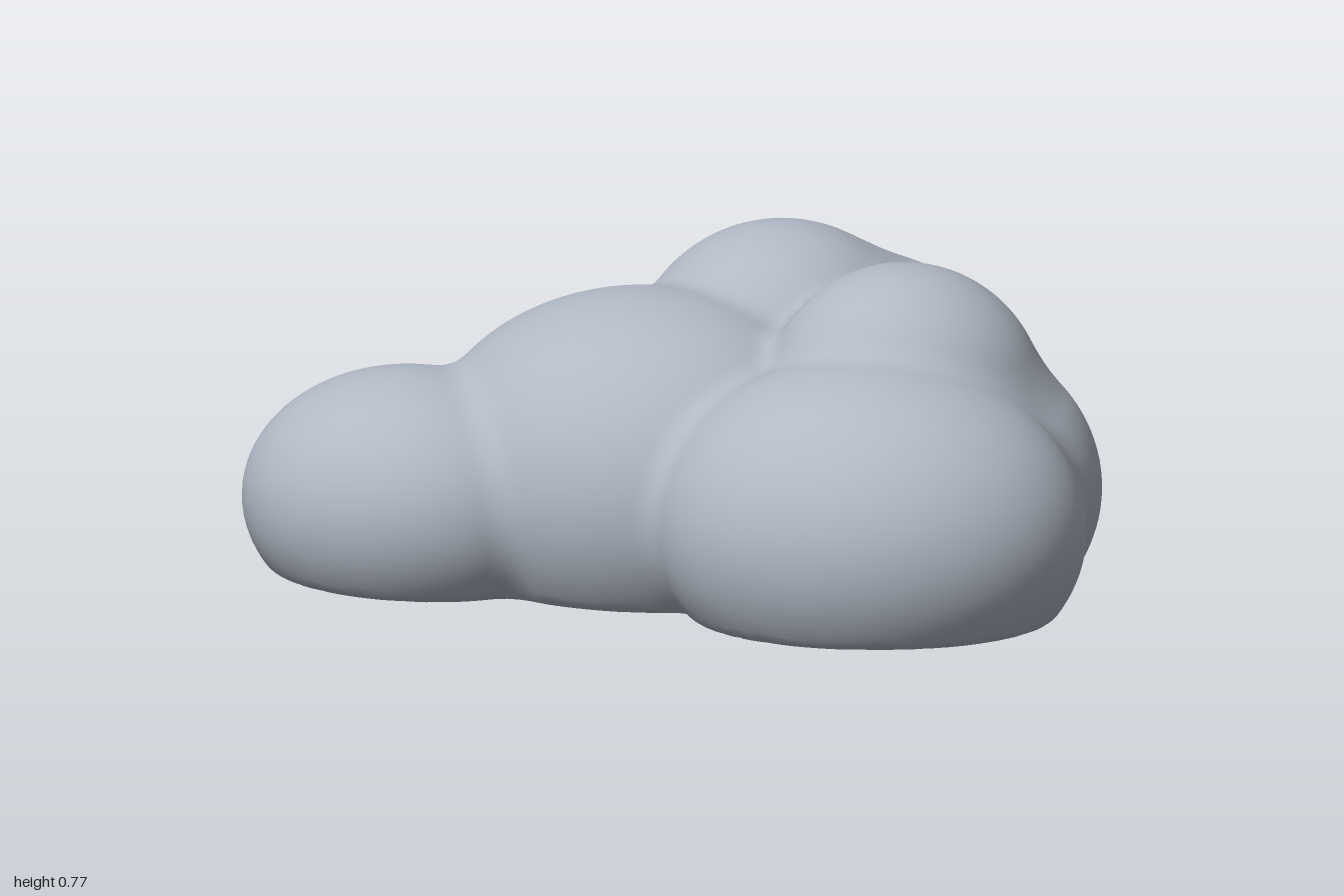
import * as THREE from 'three';

// Puffs of the cloud: centre, then radii
const puffs = [
  { c: [0.10, 0.24, -0.30], r: [0.55, 0.45, 0.51] },  // back
  { c: [0.05, 0.42, -0.20], r: [0.35, 0.35, 0.35] },  // back crown
  { c: [-0.13, 0.25, 0.15], r: [0.53, 0.42, 0.47] },  // middle
  { c: [-0.61, 0.20, 0.39], r: [0.39, 0.30, 0.34] },  // right end
  { c: [0.50, 0.23, 0.38], r: [0.50, 0.38, 0.43] },   // left front
  { c: [0.50, 0.25, 0.05], r: [0.40, 0.36, 0.40] },   // left side
  { c: [0.47, 0.45, 0.10], r: [0.32, 0.32, 0.32] },   // left crown
];

// Minimum with a rounded crease of width k
function smoothMin(a, b, k) {
  const h = Math.max(k - Math.abs(a - b), 0) / k;
  return Math.min(a, b) - h * h * k * 0.25;
}

// Negative inside the cloud, positive outside
function field(x, y, z) {
  let d = 10;
  for (const { c, r } of puffs) {
    const q = Math.hypot((x - c[0]) / r[0], (y - c[1]) / r[1], (z - c[2]) / r[2]);
    d = smoothMin(d, (q - 1) * (r[0] + r[1] + r[2]) / 3, 0.05);
  }
  // Nearly flat underside, slightly bowed
  const floor = 0.004 + 0.02 * (x * x + z * z) - y;
  return -smoothMin(-d, -floor, 0.025);
}

function gradient(p) {
  const e = 0.002;
  return new THREE.Vector3(
    field(p.x + e, p.y, p.z) - field(p.x - e, p.y, p.z),
    field(p.x, p.y + e, p.z) - field(p.x, p.y - e, p.z),
    field(p.x, p.y, p.z + e) - field(p.x, p.y, p.z - e),
  ).divideScalar(2 * e);
}

// Skin the field: one vertex per crossed grid cell, one quad per crossed grid edge
function skinGeometry() {
  const s = 0.025, n = [86, 36, 70], origin = [-1.07, -0.058, -0.87];
  const step = [1, n[0], n[0] * n[1]];
  const values = new Float32Array(n[0] * n[1] * n[2]);
  const id = (i, j, k) => i + j * step[1] + k * step[2];
  const eachCell = (visit) => {
    for (let k = 1; k < n[2] - 1; k++)
      for (let j = 1; j < n[1] - 1; j++)
        for (let i = 1; i < n[0] - 1; i++) visit(i, j, k, id(i, j, k));
  };

  values.fill(1);
  eachCell((i, j, k, at) => {
    values[at] = field(origin[0] + i * s, origin[1] + j * s, origin[2] + k * s);
  });

  const positions = [], normals = [], index = [];
  const vertexOf = new Map();
  const vertexAt = (cell) => {
    if (vertexOf.has(cell)) return vertexOf.get(cell);
    const i = cell % n[0], j = Math.floor(cell / n[0]) % n[1], k = Math.floor(cell / step[2]);
    const p = new THREE.Vector3(
      origin[0] + (i + 0.5) * s, origin[1] + (j + 0.5) * s, origin[2] + (k + 0.5) * s);
    // Slide the cell centre onto the surface
    for (let t = 0; t < 4; t++) {
      const g = gradient(p);
      p.addScaledVector(g, -field(p.x, p.y, p.z) / Math.max(g.lengthSq(), 0.2));
    }
    const normal = gradient(p).normalize();
    const v = positions.length / 3;
    positions.push(p.x, p.y, p.z);
    normals.push(normal.x, normal.y, normal.z);
    vertexOf.set(cell, v);
    return v;
  };

  eachCell((i, j, k, at) => {
    for (let a = 0; a < 3; a++) {
      const inside = values[at] < 0;
      if (inside === values[at + step[a]] < 0) continue;
      const b = step[(a + 1) % 3], c = step[(a + 2) % 3];
      const quad = [at - b - c, at - c, at, at - b].map(vertexAt);
      if (!inside) quad.reverse();
      index.push(quad[0], quad[1], quad[2], quad[0], quad[2], quad[3]);
    }
  });

  const geometry = new THREE.BufferGeometry();
  geometry.setAttribute('position', new THREE.Float32BufferAttribute(positions, 3));
  geometry.setAttribute('normal', new THREE.Float32BufferAttribute(normals, 3));
  geometry.setIndex(index);
  return geometry;
}

export function createModel() {
  const group = new THREE.Group();
  group.name = 'cloud';
  const cloudGrey = new THREE.MeshStandardMaterial({ color: 0xb0b8c4 });
  cloudGrey.name = 'cloud grey';
  const body = new THREE.Mesh(skinGeometry(), cloudGrey);
  body.name = 'cloudBody';
  group.add(body);
  return group;
}
